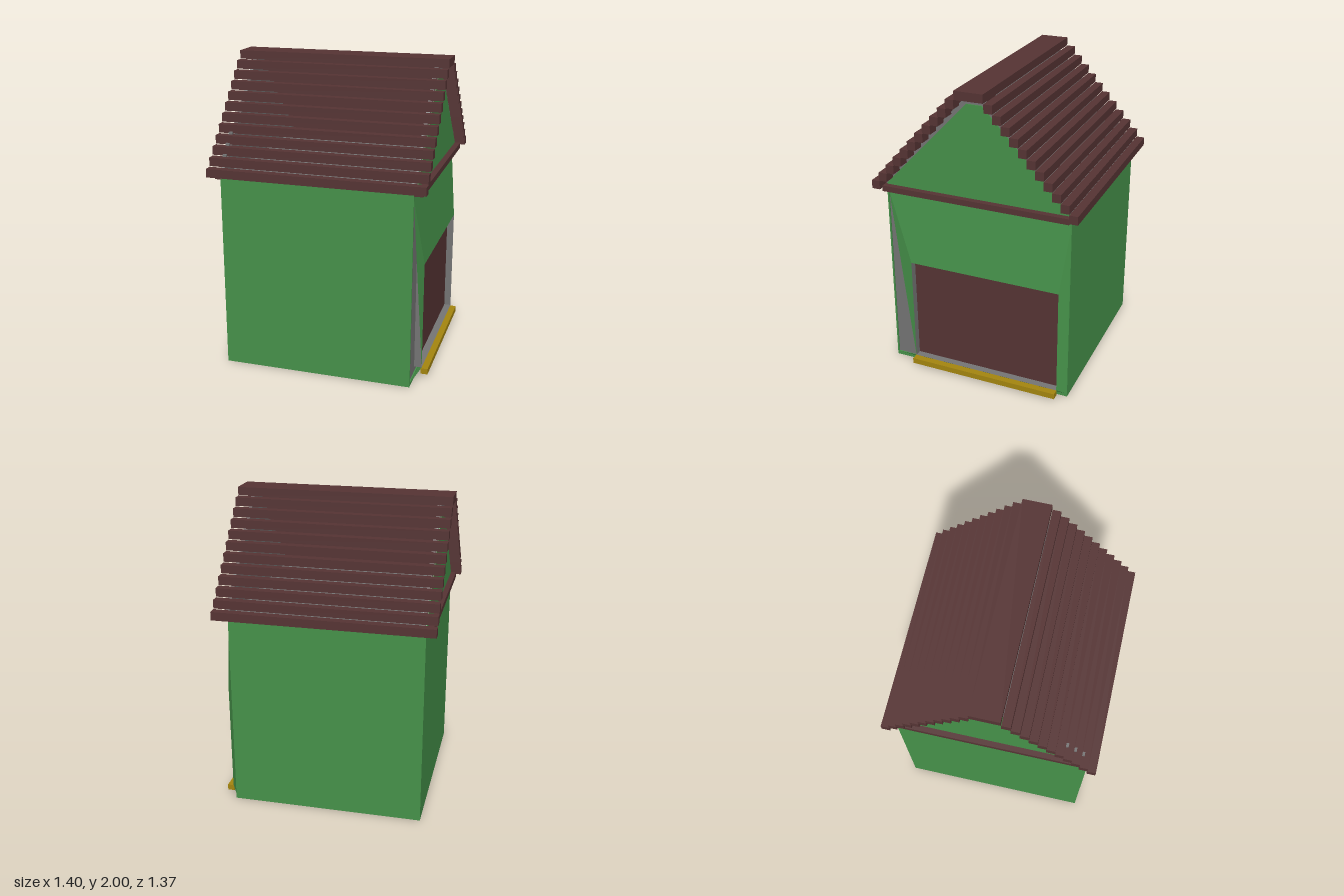
import * as THREE from 'three';

const mat = (name, color, side = THREE.FrontSide) => {
  const m = new THREE.MeshStandardMaterial({ color, side });
  m.name = name;
  return m;
};

export function createModel() {
  const group = new THREE.Group();
  group.name = 'shed';
  const green = mat('green paint', 0x46924a, THREE.DoubleSide);
  const brown = mat('dark brown timber', 0x563434);
  const grey = mat('grey lining', 0x757575, THREE.DoubleSide);
  const yellow = mat('yellow sill', 0xa5860f);

  const add = (name, geometry, material) => {
    const mesh = new THREE.Mesh(geometry, material);
    mesh.name = name;
    group.add(mesh);
    return mesh;
  };
  // Box given by its minimum and maximum on each axis
  const box = (name, [x0, x1], [y0, y1], [z0, z1], material) =>
    add(name, new THREE.BoxGeometry(x1 - x0, y1 - y0, z1 - z0), material)
      .position.set((x0 + x1) / 2, (y0 + y1) / 2, (z0 + z1) / 2);
  // Flat-sided surface from a list of triangles or quads
  const panels = (name, faces, material) => {
    const pos = [];
    for (const f of faces)
      for (let i = 1; i < f.length - 1; i++) pos.push(...f[0], ...f[i], ...f[i + 1]);
    const g = new THREE.BufferGeometry();
    g.setAttribute('position', new THREE.Float32BufferAttribute(pos, 3));
    g.computeVertexNormals();
    add(name, g, material);
  };

  // Walls, with grey floor, ceiling and lining on the door side
  box('walls', [-0.63, 0.605], [0, 1.285], [-0.62, 0.63],
    [grey, green, grey, grey, green, green]);
  box('cornerTrim', [0.605, 0.614], [0, 1.285], [0.62, 0.63], green);
  box('backCornerTrim', [0.605, 0.614], [0, 1.285], [-0.62, -0.612], green);
  box('plinth', [0.605, 0.613], [0, 0.025], [-0.62, 0.63], green);
  box('topTrim', [0.605, 0.613], [1.25, 1.285], [-0.62, 0.63], green);
  box('ceiling', [-0.62, 0.61], [1.285, 1.3], [-0.62, 0.62], grey);

  // Door surround: facing that bulges out to the door frame, open at one side
  const top = [[0.611, 1.25, 0.62], [0.611, 1.25, -0.62]];
  const base = [[0.611, 0.02, 0.62], [0.611, 0.02, -0.62]];
  const frame = [[0.46, 0.775], [-0.56, 0.775], [-0.56, 0.06], [0.46, 0.06]];
  const [A, B, C, D] = frame.map(([z, y]) => [0.655, y, z]);
  panels('doorSurround', [
    [top[0], A, B, top[1]],
    [top[1], B, C, base[1]],
    [base[1], C, D, base[0]],
    [top[0], D, A],
  ], green);

  // Reveals of the door opening
  panels('doorReveal', frame.map(([z, y], i) => {
    const [z2, y2] = frame[(i + 1) % 4];
    return [[0.605, y, z], [0.655, y, z], [0.655, y2, z2], [0.605, y2, z2]];
  }), grey);
  box('door', [0.603, 0.608], [0.06, 0.775], [-0.56, 0.46], brown);
  box('doorSill', [0.65, 0.695], [0.018, 0.056], [-0.56, 0.465], yellow);

  // Gables: grey truss plate with a green board outside
  const gable = (name, pts, x, depth, material) => {
    const shape = new THREE.Shape(pts.map(([z, y]) => new THREE.Vector2(-z, y)));
    const g = new THREE.ExtrudeGeometry(shape, { depth, bevelEnabled: false });
    g.rotateY(Math.PI / 2);
    add(name, g, material).position.x = x;
  };
  const outline = (w, y0, y1, t, yt) =>
    [[w, y0], [w, y1], [t, yt], [-t, yt], [-w, y1], [-w, y0]];
  for (const s of [-1, 1]) {
    gable('gableTruss', outline(0.625, 1.3, 1.335, 0.05, 1.95), s * 0.612 - 0.0125, 0.025, grey);
    gable('gableBoard', outline(0.615, 1.29, 1.31, 0.05, 1.905), s * 0.627 - 0.004, 0.008, green);
    box('gableRail', s < 0 ? [-0.666, -0.61] : [0.61, 0.67], [1.264, 1.302], [-0.62, 0.63], brown);
  }

  // Roof: stepped square slats on both slopes and a wide ridge board
  const h = 0.0275;
  for (const s of [-1, 1])
    for (let i = 0; i < 11; i++) {
      const z = s * (0.658 - i * 0.0535), y = 1.315 + i * 0.06;
      box('roofSlat', [-0.7, 0.7], [y - h, y + h], [z - h, z + h], brown);
    }
  box('ridgeBoard', [-0.7, 0.7], [1.945, 2], [-0.093, 0.093], brown);

  // Truss corners showing between the lower slats
  for (let i = 0; i < 3; i++) {
    const z = 0.585 - i * 0.0535, y = 1.408 + i * 0.06;
    box('trussPeg', [-0.626, -0.602], [y - 0.01, y + 0.01], [z - 0.01, z + 0.01], grey);
  }
  return group;
}
